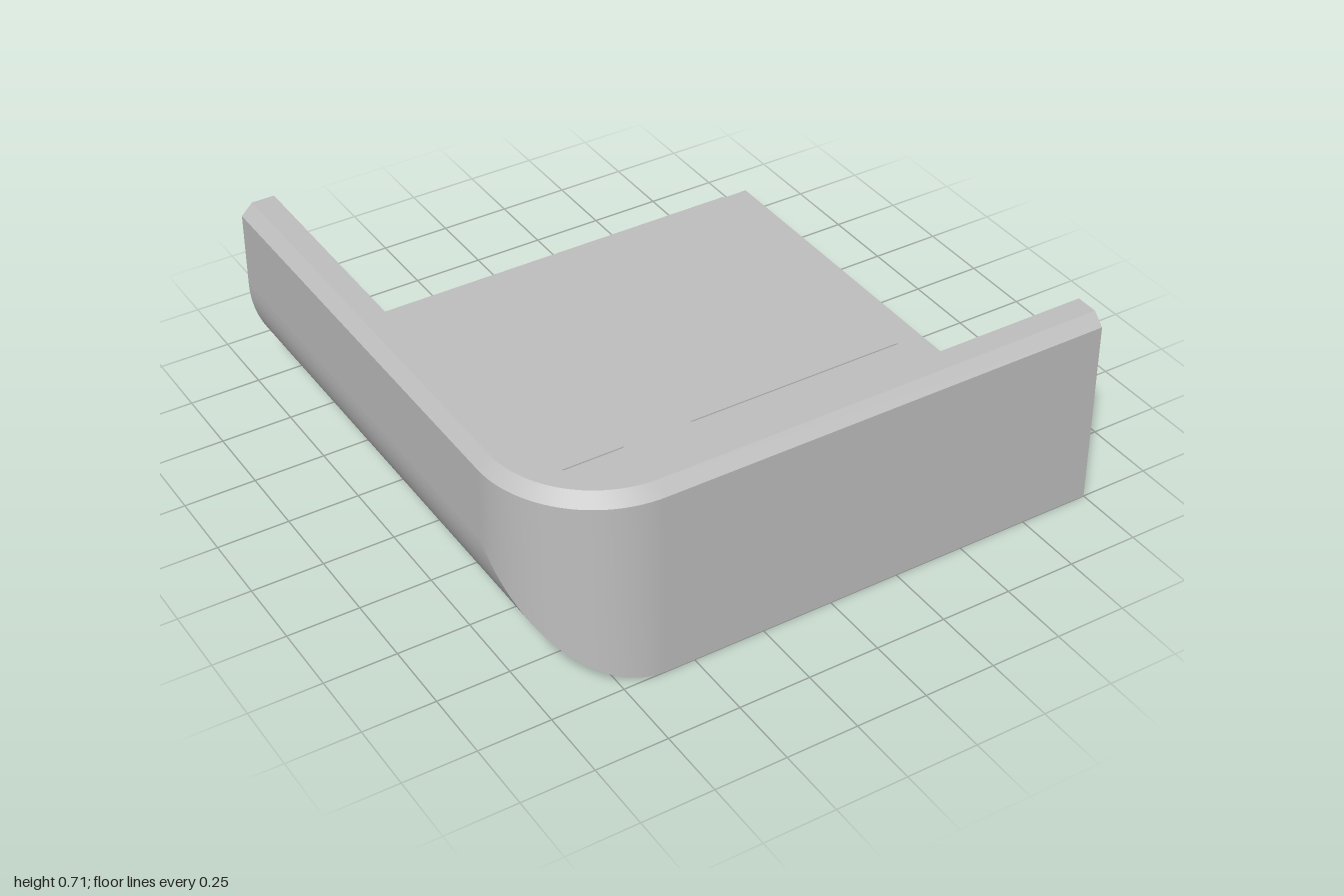
import * as THREE from 'three';
import { mergeGeometries } from 'three/addons/utils/BufferGeometryUtils.js';

const SEG = 24, CX = -0.6, CZ = 0.6;      // corner arc centre and steps
const OUT = 0.4, IN = 0.28, BEVEL = 0.36; // outer, inner and bevelled corner radii
const TOP = 0.71, SHOULDER = 0.67, FLOOR = 0.1;
const BOSS = { x: -0.2, z: 0.58 };

// Surface between two point rows of equal length
function loft(a, b) {
  const n = a.length, index = [];
  for (let i = 0; i < n - 1; i++) index.push(i, i + 1, n + i, i + 1, n + i + 1, n + i);
  const g = new THREE.BufferGeometry().setFromPoints([...a, ...b]);
  g.setIndex(index);
  g.computeVertexNormals();
  return g;
}

// Points around the quarter corner; height is a function of the angle
function corner(r, height, z) {
  return Array.from({ length: SEG + 1 }, (_, i) => {
    const t = (i / SEG) * Math.PI / 2;
    return new THREE.Vector3(CX - r * Math.cos(t), height(t), z ?? CZ + r * Math.sin(t));
  });
}

// Full wall line: left side, rounded corner, front side
function wallLine(r, height) {
  return [
    new THREE.Vector3(CX - r, height(0), -1),
    ...corner(r, height),
    new THREE.Vector3(1, height(Math.PI / 2), CZ + r),
  ];
}

const flat = (points, holes = []) => {
  const s = new THREE.Shape(points.map(([x, y]) => new THREE.Vector2(x, y)));
  s.holes.push(...holes);
  return new THREE.ShapeGeometry(s, 48);
};
const hole = (x, y, r) => new THREE.Path().absarc(x, y, r, 0, Math.PI * 2, true);

export function createModel() {
  const group = new THREE.Group();
  const grey = new THREE.MeshStandardMaterial({ color: 0xbfbfbf, side: THREE.DoubleSide });
  grey.name = 'plain grey';
  const add = (name, geometry) => {
    const m = new THREE.Mesh(geometry, grey);
    m.name = name;
    group.add(m);
    return m;
  };

  const at = y => () => y;
  const outerLow = t => OUT - OUT * Math.sin(t);
  const innerLow = t => FLOOR + IN - IN * Math.sin(t);

  // Walls
  add('outerWall', loft(wallLine(OUT, outerLow), wallLine(OUT, at(SHOULDER))));
  add('rimBevel', loft(wallLine(OUT, at(SHOULDER)), wallLine(BEVEL, at(TOP))));
  add('rim', loft(wallLine(BEVEL, at(TOP)), wallLine(IN, at(TOP))));
  add('innerWall', loft(wallLine(IN, at(TOP)), wallLine(IN, innerLow)));

  // Rounded lower edge, inside and outside
  add('innerFillet', loft(corner(IN, innerLow), corner(IN, innerLow, -1)));
  add('outerRound', loft(corner(OUT, outerLow, -1), corner(OUT, outerLow)));

  // Flat floor and underside, pierced below the boss
  const zIn = CZ + IN;
  const floor = flat([[CX, -zIn], [1, -zIn], [1, 1], [CX, 1]], [hole(BOSS.x, -BOSS.z, 0.25)]);
  add('floor', floor.rotateX(-Math.PI / 2).translate(0, FLOOR, 0));
  const under = flat([[CX, -1], [1, -1], [1, 1], [CX, 1]], [hole(BOSS.x, BOSS.z, 0.25)]);
  add('underside', under.rotateX(Math.PI / 2));

  // Open cut ends
  const outerArc = corner(OUT, outerLow).map(p => [-p.x, p.y]).reverse();
  const innerArc = corner(IN, innerLow).map(p => [-p.x, p.y]);
  const back = flat([[-1, 0], ...outerArc, [1, SHOULDER], [0.96, TOP], [0.88, TOP],
    ...innerArc, [-1, FLOOR]]);
  add('backCutFace', back.rotateY(Math.PI).translate(0, 0, -1));
  const side = flat([[-1, 0], [1, 0], [1, FLOOR], [-0.88, FLOOR], [-0.88, TOP],
    [-0.96, TOP], [-1, SHOULDER]]);
  add('sideCutFace', side.rotateY(Math.PI / 2).translate(1, 0, 0));

  // Thin raised pad on the floor
  const pad = new THREE.BoxGeometry(1.55, 0.005, 1.1);
  add('floorPad', pad.translate(0.125, FLOOR + 0.0025, -0.45));

  // Screw boss with a through hole and a wider bore below
  const profile = [[0.3, FLOOR], [0.3, 0.29], [0.14, 0.29], [0.14, 0.2], [0.25, 0.2], [0.25, 0]]
    .map(([x, y]) => new THREE.Vector2(x, y));
  const rings = profile.slice(1).map((p, i) => new THREE.LatheGeometry([profile[i], p], 48));
  add('screwBoss', mergeGeometries(rings)).position.set(BOSS.x, 0, BOSS.z);

  return group;
}
